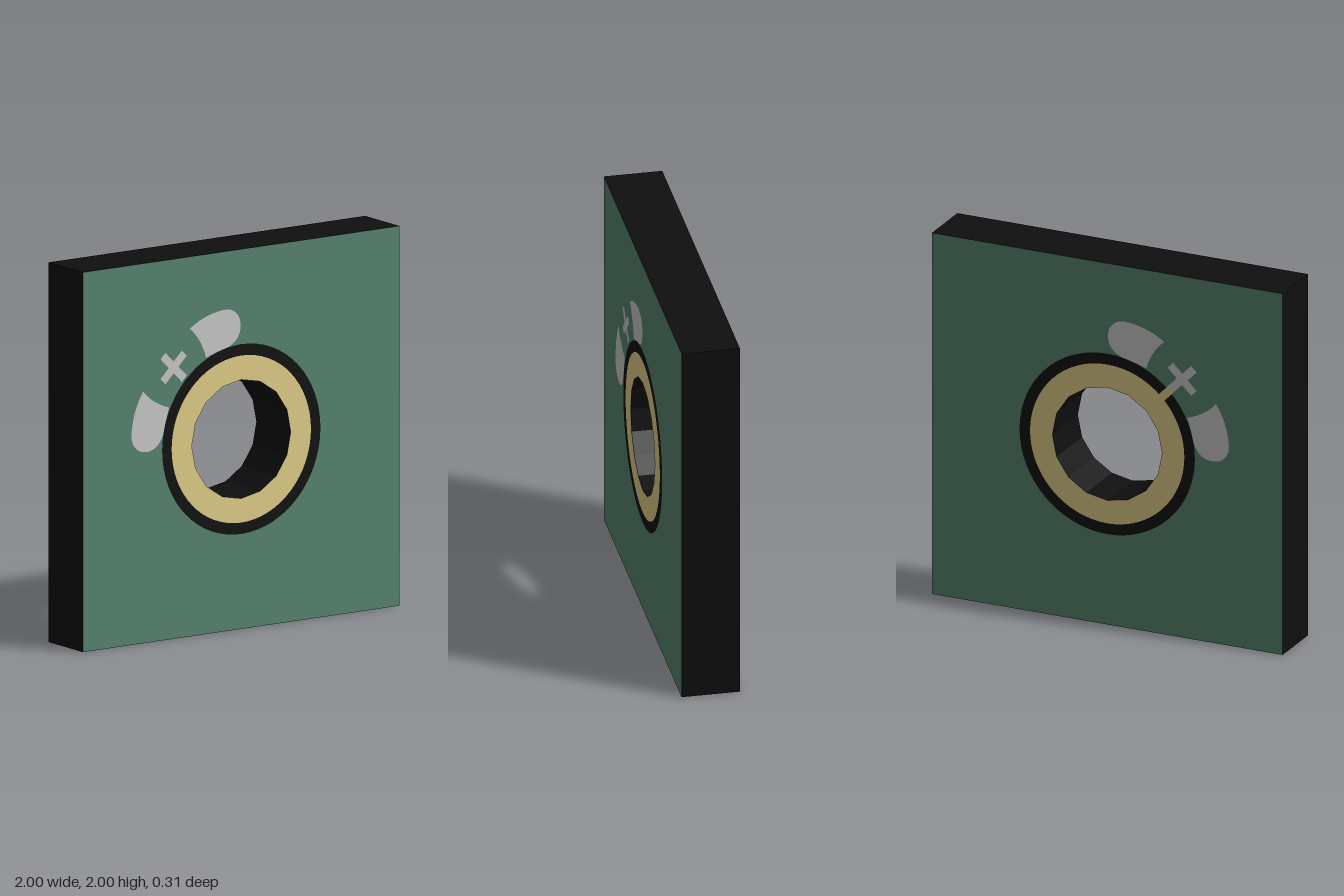
import * as THREE from 'three';

const HALF = 0.153;   // half thickness of the core slab
const CY = 1;         // height of the hole centre
const mats = {
  black: new THREE.MeshStandardMaterial({ color: 0x0f0f0f }),
  green: new THREE.MeshStandardMaterial({ color: 0x598570 }),
  tan: new THREE.MeshStandardMaterial({ color: 0xe3d08b }),
  grey: new THREE.MeshStandardMaterial({ color: 0xcccccc }),
};

// Regular polygon path, first corner at the top
function ring(path, radius, sides) {
  const pts = [];
  for (let i = 0; i < sides; i++) {
    const a = Math.PI / 2 + (i * 2 * Math.PI) / sides;
    pts.push(new THREE.Vector2(radius * Math.cos(a), CY + radius * Math.sin(a)));
  }
  return path.setFromPoints(pts);
}

function squareShape() {
  return new THREE.Shape([[-1, 0], [1, 0], [1, 2], [-1, 2]].map(p => new THREE.Vector2(...p)));
}

// Curved lug; the swapped version is its mirror across the diagonal
function lugShape(swapped) {
  const s = new THREE.Shape();
  s.moveTo(-0.326, 1.62);
  s.quadraticCurveTo(-0.257, 1.565, -0.222, 1.456);
  s.quadraticCurveTo(-0.16, 1.478, -0.09, 1.492);
  s.bezierCurveTo(-0.03, 1.515, -0.005, 1.55, -0.005, 1.6);
  s.bezierCurveTo(-0.005, 1.66, -0.05, 1.697, -0.107, 1.694);
  s.bezierCurveTo(-0.18, 1.69, -0.26, 1.667, -0.326, 1.62);
  const pts = s.getPoints(14);
  return new THREE.Shape(swapped ? pts.map(p => new THREE.Vector2(CY - p.y, CY - p.x)).reverse() : pts);
}

// Straight bar along a direction, centred at a point
function barShape(x, y, length, width, angle) {
  const c = Math.cos(angle), s = Math.sin(angle), l = length / 2, w = width / 2;
  return new THREE.Shape([[-l, -w], [l, -w], [l, w], [-l, w]].map(
    ([u, v]) => new THREE.Vector2(x + u * c - v * s, y + u * s + v * c)));
}

export function createModel() {
  const model = new THREE.Group();
  model.name = 'panel';

  // Core slab with a sixteen-sided bore
  const core = squareShape();
  core.holes.push(ring(new THREE.Path(), 0.313, 16));
  const coreGeo = new THREE.ExtrudeGeometry(core, { depth: 2 * HALF, bevelEnabled: false });
  coreGeo.translate(0, 0, -HALF);
  const slab = new THREE.Mesh(coreGeo, mats.black);
  slab.name = 'slab';
  model.add(slab);

  // Flat inlays, repeated on the front and back
  for (const side of [1, -1]) {
    const face = new THREE.Group();
    face.name = side > 0 ? 'frontFace' : 'backFace';
    const inlay = (name, shapes, mat, lift) => {
      const geo = new THREE.ShapeGeometry(shapes, 24);
      // turn the winding round for the back
      if (side < 0) {
        geo.index.array.reverse();
        const n = geo.attributes.normal;
        for (let i = 0; i < n.count; i++) n.setZ(i, -1);
      }
      const mesh = new THREE.Mesh(geo, mat);
      mesh.name = name;
      mesh.position.z = side * (HALF + lift);
      face.add(mesh);
    };

    const field = squareShape();
    field.holes.push(ring(new THREE.Path(), 0.5, 64));
    inlay('field', field, mats.green, 0.001);

    const collar = ring(new THREE.Shape(), 0.44, 64);
    collar.holes.push(ring(new THREE.Path(), 0.313, 16));
    inlay('collar', collar, mats.tan, 0.001);

    inlay('lugs', [lugShape(false), lugShape(true)], mats.grey, 0.002);

    // Diagonal cross between the lugs, built without overlaps
    const q = Math.PI / 4, d = 0.0585 * Math.SQRT1_2;
    inlay('cross', [
      barShape(-0.428, 1.43, 0.19, 0.044, 3 * q),
      barShape(-0.428 + d, 1.43 + d, 0.073, 0.044, q),
      barShape(-0.428 - d, 1.43 - d, 0.073, 0.044, q),
    ], mats.grey, 0.002);

    // Narrow link from the collar to the cross, on the back only
    if (side < 0) {
      const r = 0.473 * Math.SQRT1_2;
      inlay('link', barShape(-r, CY + r, 0.078, 0.044, 3 * q), mats.tan, 0.0015);
    }
    model.add(face);
  }
  return model;
}
